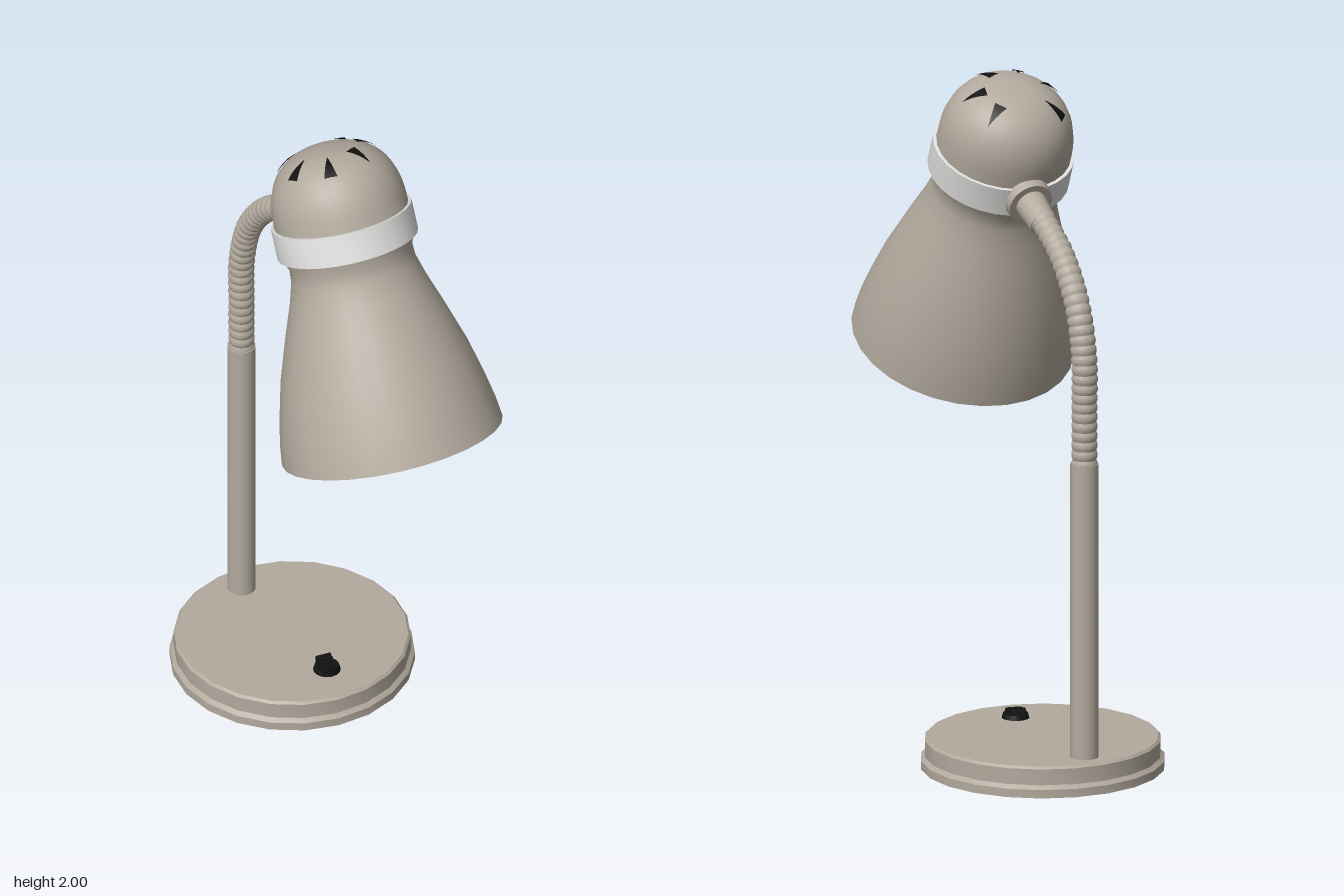
import * as THREE from 'three';
import { toCreasedNormals } from 'three/addons/utils/BufferGeometryUtils.js';

const material = (name, color) => Object.assign(new THREE.MeshStandardMaterial({ color }), { name });

export function createModel() {
  const beige = material('warm beige', 0xb3aa9e);
  const white = material('white enamel', 0xe0e0de);
  const glass = material('bulb glass', 0xcbc7bd);
  const black = material('black', 0x111111);
  black.side = THREE.DoubleSide;

  const model = new THREE.Group();
  model.name = 'deskLamp';

  function add(parent, name, geometry, mat, position = [0, 0, 0]) {
    const mesh = new THREE.Mesh(geometry, mat);
    mesh.name = name;
    mesh.position.set(...position);
    parent.add(mesh);
    return mesh;
  }
  const lathe = (points, sides = 28, crease = 0.6) => toCreasedNormals(
    new THREE.LatheGeometry(points.map(([r, y]) => new THREE.Vector2(r, y)), sides), crease);

  // Base: stepped disc, hollow underneath
  add(model, 'base', lathe([
    [0, 0.06], [0.328, 0.06], [0.335, 0], [0.353, 0], [0.353, 0.025],
    [0.341, 0.036], [0.341, 0.083], [0.334, 0.09], [0, 0.09],
  ], 22, 0.5), beige, [-0.025, 0, -0.245]);

  // Rocker switch with ridges
  const rocker = new THREE.Group();
  rocker.name = 'switch';
  rocker.position.set(0, 0.09, -0.043);
  model.add(rocker);
  add(rocker, 'switchCollar', new THREE.CylinderGeometry(0.036, 0.04, 0.014, 16), black, [0, 0.007, 0]);
  const lever = new THREE.Group();
  lever.name = 'switchLever';
  lever.position.y = 0.016;
  lever.rotation.x = 0.2;
  rocker.add(lever);
  add(lever, 'leverBody', new THREE.BoxGeometry(0.044, 0.018, 0.066), black);
  for (let i = -2; i <= 2; i++) {
    add(lever, 'leverRidge', new THREE.BoxGeometry(0.044, 0.005, 0.006), black, [0, 0.01, i * 0.013]);
  }

  // Straight pole
  add(model, 'pole', new THREE.CylinderGeometry(0.041, 0.041, 0.885, 20), beige, [-0.08, 0.5225, -0.495]);

  // Flexible neck: a tube with a narrow groove at every third ring
  const path = new THREE.CatmullRomCurve3([
    [-0.08, 0.95, -0.495], [-0.08, 1.12, -0.495], [-0.08, 1.28, -0.492], [-0.071, 1.42, -0.455],
    [-0.052, 1.545, -0.36], [-0.027, 1.625, -0.235], [-0.02, 1.65, -0.18],
  ].map((p) => new THREE.Vector3(...p)));
  const rings = 90, around = 16;
  const neck = new THREE.TubeGeometry(path, rings, 0.038, around);
  const pos = neck.attributes.position;
  const v = new THREE.Vector3();
  for (let i = 0; i <= rings; i++) {
    const centre = path.getPointAt(i / rings);
    for (let j = 0; j <= around; j++) {
      const k = i * (around + 1) + j;
      v.fromBufferAttribute(pos, k).sub(centre).multiplyScalar(i % 3 === 0 ? 0.9 : 1).add(centre);
      pos.setXYZ(k, v.x, v.y, v.z);
    }
  }
  add(model, 'flexibleNeck', toCreasedNormals(neck, 0.5), beige);

  // Lamp head, built upright from the mouth and then tilted
  const head = new THREE.Group();
  head.name = 'lampHead';
  head.position.set(0.0625, 1.14, 0.3);
  head.rotation.set(-0.412, 0.166, 0, 'YXZ');
  model.add(head);

  const shade = [[0.325, 0], [0.318, 0.06], [0.302, 0.14], [0.275, 0.25], [0.232, 0.38],
    [0.2, 0.47], [0.183, 0.53], [0.181, 0.565], [0.196, 0.605]];
  add(head, 'shade', lathe([[0.314, 0], ...shade]), beige);
  add(head, 'shadeLining', lathe([[0, 0.56], ...shade.slice(0, 8).reverse().map(([r, y]) => [r - 0.011, y])]
    .map(([r, y], i) => [r, i === 0 ? 0.565 : y])), white);
  add(head, 'band', lathe([[0.19, 0.605], [0.207, 0.605], [0.207, 0.695], [0.19, 0.695]]), white);

  // Rounded cap
  const domeHeight = (r) => 0.695 + 0.21 * Math.pow(Math.max(0, 1 - Math.pow(r / 0.197, 2.5)), 0.4);
  const dome = [];
  for (let i = 0; i <= 14; i++) {
    const r = 0.197 * Math.cos((i / 14) * Math.PI / 2);
    dome.push([i === 14 ? 0 : r, domeHeight(i === 14 ? 0 : r)]);
  }
  add(head, 'cap', lathe(dome, 28, 1), beige);

  // Triangular vents laid on the cap; wide end outwards or inwards
  function vent(degrees, wideOutside) {
    const a = THREE.MathUtils.degToRad(degrees), steps = 5;
    const points = [], index = [];
    for (let i = 0; i <= steps; i++) {
      const f = i / steps, along = 0.087 + 0.064 * f;
      const half = 0.019 * (wideOutside ? f : 1 - f);
      for (const s of [-half, 0, half]) {
        const x = Math.cos(a) * along - Math.sin(a) * s;
        const z = Math.sin(a) * along + Math.cos(a) * s;
        const r = Math.hypot(x, z);
        points.push(x * 1.012, domeHeight(r) + 0.004, z * 1.012);
      }
      if (i < steps) {
        for (const k of [i * 3, i * 3 + 1]) index.push(k, k + 1, k + 3, k + 1, k + 4, k + 3);
      }
    }
    const g = new THREE.BufferGeometry();
    g.setAttribute('position', new THREE.Float32BufferAttribute(points, 3));
    g.setIndex(index);
    g.computeVertexNormals();
    add(head, 'vent', g, black);
  }
  [[219, true], [322, false], [11, false], [67, false], [118, true], [165, true]]
    .forEach(([angle, wide]) => vent(angle, wide));

  // Bulb and holder
  add(head, 'bulb', lathe([[0, 0.1], [0.025, 0.106], [0.046, 0.125], [0.058, 0.155], [0.06, 0.19],
    [0.053, 0.25], [0.04, 0.31], [0.034, 0.38]], 20, 1), glass);
  add(head, 'bulbHolder', new THREE.CylinderGeometry(0.05, 0.05, 0.2, 20), white, [0, 0.465, 0]);

  // Joint at the back: flange and tapered sleeve
  const joint = new THREE.Group();
  joint.name = 'neckJoint';
  joint.position.set(0, 0.655, -0.2);
  joint.rotation.x = -Math.PI / 2;
  head.add(joint);
  add(joint, 'flange', new THREE.CylinderGeometry(0.066, 0.07, 0.03, 24), beige, [0, 0.005, 0]);
  add(joint, 'sleeve', new THREE.CylinderGeometry(0.041, 0.047, 0.11, 20), beige, [0, 0.06, 0]);

  return model;
}
